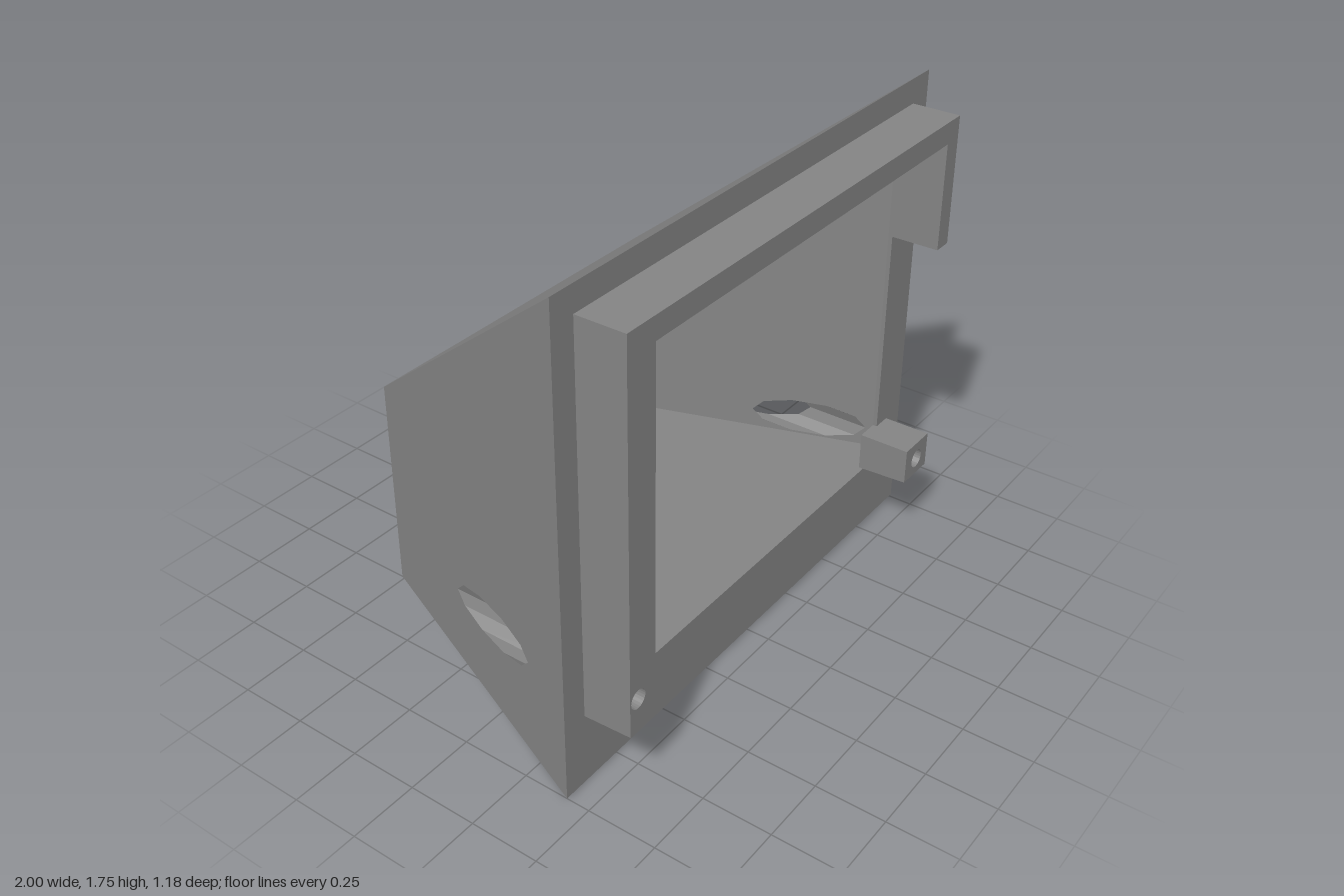
import * as THREE from 'three';

const material = new THREE.MeshStandardMaterial({ color: 0x848484, flatShading: true, side: THREE.DoubleSide });

// Depths: back face, inner back wall, inside of front panel, front panel, lip
const BACK = -0.59, INNER_BACK = -0.515, PANEL_BACK = 0.4, FRONT = 0.415, LIP = 0.59;
const FLOOR = 0.266;

// Planes of the slanted walls, as functions of z
const lerp = (z, z0, a, z1, b) => a + (b - a) * (z - z0) / (z1 - z0);
const outerRight = z => lerp(z, BACK, 0.69, FRONT, 1);
const outerLeft = z => lerp(z, BACK, -0.66, FRONT, -1);
const innerRight = z => lerp(z, INNER_BACK, 0.615, PANEL_BACK, 0.922);
const innerLeft = z => lerp(z, INNER_BACK, -0.58, PANEL_BACK, -0.78);
// Inverse: z at which a wall reaches x
const zAt = (wall, x) => (x - wall(0)) / (wall(1) - wall(0));

const poly = points => points.map(p => new THREE.Vector2(p[0], p[1]));
const rect = (x0, y0, x1, y1) => poly([[x0, y0], [x1, y0], [x1, y1], [x0, y1]]);
const ring = (x, y, r, n) => poly(Array.from({ length: n }, (_, i) => {
  const a = i * 2 * Math.PI / n;
  return [x + r * Math.cos(a), y + r * Math.sin(a)];
}));

function makeShape(outline, holes) {
  const shape = new THREE.Shape(outline);
  shape.holes = holes.map(h => new THREE.Path(h));
  return shape;
}

export function createModel() {
  const group = new THREE.Group();

  function add(name, geometry) {
    const mesh = new THREE.Mesh(geometry, material);
    mesh.name = name;
    group.add(mesh);
  }

  // Flat sheet with holes, its (u, v) points placed in space by a rule
  function sheet(name, outline, holes, place) {
    const geometry = new THREE.ShapeGeometry(makeShape(outline, holes));
    const p = geometry.attributes.position;
    for (let i = 0; i < p.count; i++) p.setXYZ(i, ...place(p.getX(i), p.getY(i)));
    geometry.computeVertexNormals();
    add(name, geometry);
  }

  // Solid plate with holes between two depths; the underside can rise towards the front
  function plate(name, outline, holes, z0, z1, rise = 0) {
    const geometry = new THREE.ExtrudeGeometry(makeShape(outline, holes), { depth: z1 - z0, bevelEnabled: false });
    geometry.translate(0, 0, z0);
    const p = geometry.attributes.position;
    for (let i = 0; i < p.count; i++) {
      if (p.getY(i) < 0.275 && p.getZ(i) > z1 - 0.001) p.setY(i, p.getY(i) + rise);
    }
    geometry.computeVertexNormals();
    add(name, geometry);
  }

  // Strip of quads between two matching rows of points
  function strip(name, rowA, rowB, closed = false) {
    const positions = [];
    const n = rowA.length;
    for (let i = 0; i < (closed ? n : n - 1); i++) {
      const j = (i + 1) % n;
      positions.push(...rowA[i], ...rowA[j], ...rowB[j], ...rowA[i], ...rowB[j], ...rowB[i]);
    }
    const geometry = new THREE.BufferGeometry();
    geometry.setAttribute('position', new THREE.Float32BufferAttribute(positions, 3));
    geometry.computeVertexNormals();
    add(name, geometry);
  }

  // Screw holes and the wider ten-sided pockets behind them
  const rightHole = ring(0.83, 0.341, 0.035, 24);
  const leftHole = ring(-0.865, 0.401, 0.035, 24);
  const rightBore = ring(0.83, 0.341, 0.07, 10);
  const leftBore = ring(-0.865, 0.401, 0.07, 10);
  const onWall = (bore, wall) => bore.map(p => new THREE.Vector2(zAt(wall, p.x), p.y));

  // Outer shell
  const side = bottom => poly([[FRONT, bottom], [FRONT, 1.751], [BACK, 0.951], [BACK, 0.181]]);
  sheet('outerRightWall', side(0.011), [onWall(rightBore, outerRight)], (z, y) => [outerRight(z), y, z]);
  sheet('outerLeftWall', side(0), [onWall(leftBore, outerLeft)], (z, y) => [outerLeft(z), y, z]);
  strip('outerRoof', [[-1, 1.751, FRONT], [1, 1.751, FRONT]], [[-0.66, 0.951, BACK], [0.69, 0.951, BACK]]);
  strip('outerBase', [[-1, 0, FRONT], [1, 0.011, FRONT]], [[-0.66, 0.181, BACK], [0.69, 0.181, BACK]]);

  // Back wall with vent slots, cable slot and square socket
  const backHoles = [rect(-0.585, FLOOR, -0.265, 0.349), rect(0.44, FLOOR, 0.545, 0.369)];
  for (let i = 0; i < 6; i++) backHoles.push(rect(-0.243, 0.397 + i * 0.0505, 0.273, 0.432 + i * 0.0505));
  plate('backWall', rect(-0.66, 0.181, 0.69, 0.951), backHoles, BACK, INNER_BACK);

  // Front panel, notched for the corner block
  const opening = poly([[-0.78, FLOOR], [0.905, FLOOR], [0.905, 0.411], [0.835, 0.411], [0.835, 1.581], [-0.78, 1.581]]);
  sheet('frontPanel', poly([[-1, 0], [1, 0.011], [1, 1.751], [-1, 1.751]]), [opening, leftHole],
    (x, y) => [x, y, FRONT]);
  const throat = z => [[-0.78, FLOOR, z], [-0.78, 1.581, z], [0.835, 1.581, z], [0.835, 0.411, z]];
  strip('openingEdge', throat(PANEL_BACK), throat(FRONT));
  sheet('panelInside', poly([[0.905, FLOOR], [0.922, FLOOR], [0.922, 1.581], [0.835, 1.581], [0.835, 0.411], [0.905, 0.411]]),
    [], (x, y) => [x, y, PANEL_BACK]);

  // Inner cavity
  const innerSide = poly([[INNER_BACK, FLOOR], [PANEL_BACK, FLOOR], [PANEL_BACK, 1.581], [INNER_BACK, 0.881]]);
  sheet('innerRightWall', innerSide, [onWall(rightBore, innerRight)], (z, y) => [innerRight(z), y, z]);
  sheet('innerLeftWall', innerSide, [], (z, y) => [innerLeft(z), y, z]);
  strip('innerCeiling', [[-0.78, 1.581, PANEL_BACK], [0.922, 1.581, PANEL_BACK]],
    [[-0.58, 0.881, INNER_BACK], [0.615, 0.881, INNER_BACK]]);
  sheet('floor', poly([[-0.58, INNER_BACK], [0.615, INNER_BACK], [0.922, PANEL_BACK], [0.835, PANEL_BACK],
    [0.835, FRONT], [-0.78, FRONT], [-0.78, PANEL_BACK]]), [], (x, z) => [x, FLOOR, z]);

  // Pocket and screw hole walls
  const along = (points, depth) => points.map(p => [p.x, p.y, depth(p.x)]);
  strip('rightScrewPocket', along(rightBore, x => zAt(outerRight, x)), along(rightBore, x => zAt(innerRight, x)), true);
  strip('leftScrewPocket', along(leftBore, x => zAt(outerLeft, x)), along(leftBore, () => PANEL_BACK), true);
  sheet('leftPocketEnd', leftBore, [leftHole], (x, y) => [x, y, PANEL_BACK]);
  strip('leftScrewHole', along(leftHole, () => PANEL_BACK), along(leftHole, () => FRONT), true);

  // Raised lip around the top and sides, and the screw block in the corner
  plate('lip', poly([[-0.905, 0.268], [-0.78, 0.268], [-0.78, 1.581], [0.835, 1.581], [0.835, 1.192],
    [0.905, 1.192], [0.905, 1.66], [-0.905, 1.66]]), [leftHole], FRONT, LIP, 0.009);
  plate('screwBlock', rect(0.75, 0.268, 0.905, 0.411), [rightHole], PANEL_BACK, LIP, 0.009);

  // Holder on the floor behind the cable slot: two rails and a stop
  plate('holderRail', rect(-0.635, FLOOR, -0.585, 0.351), [], INNER_BACK, -0.11);
  plate('holderRail', rect(-0.265, FLOOR, -0.243, 0.351), [], INNER_BACK, -0.11);
  plate('holderStop', rect(-0.54, FLOOR, -0.32, 0.351), [], -0.14, -0.11);

  return group;
}
